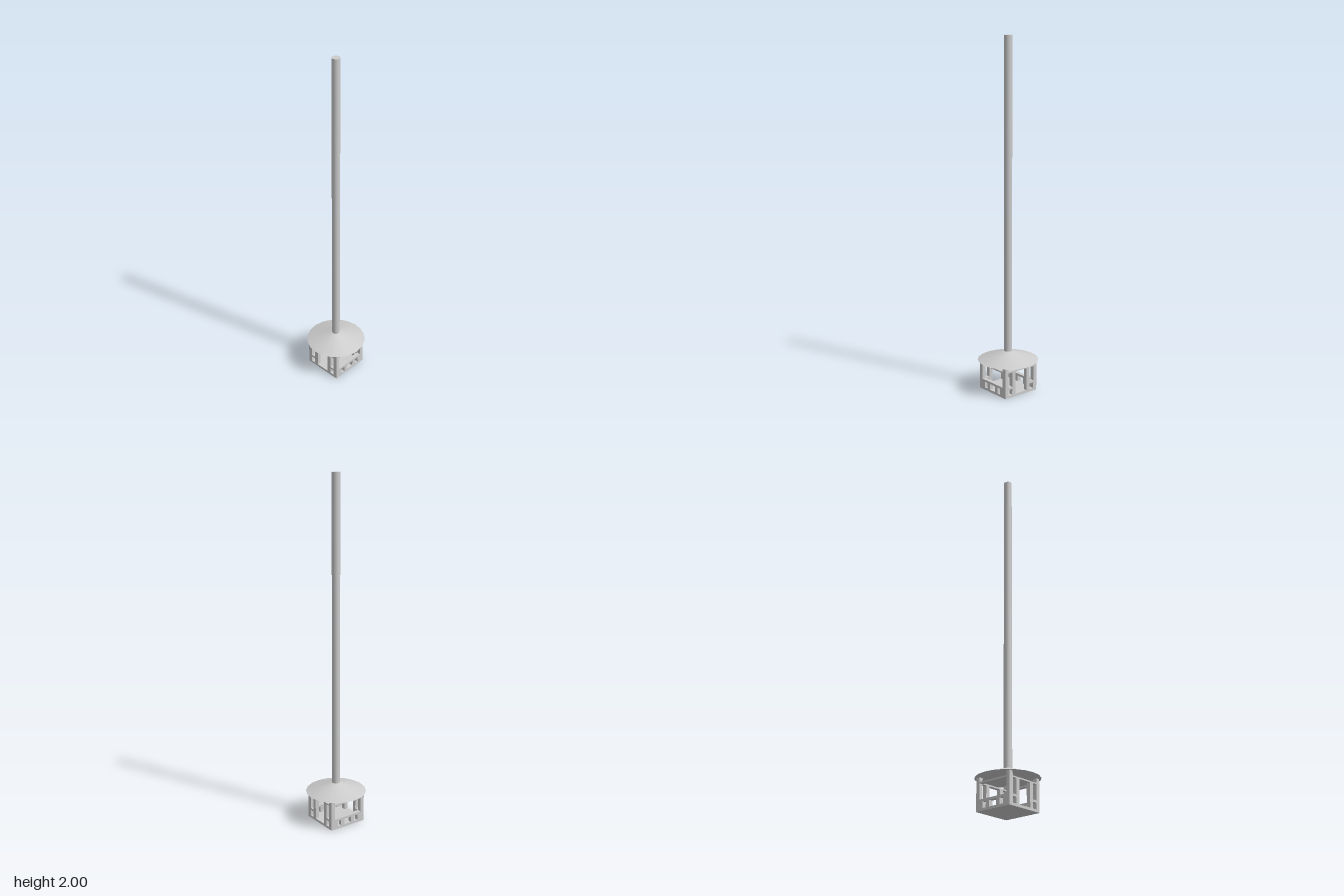
import * as THREE from 'three';

const material = new THREE.MeshStandardMaterial({ color: 0xcccccc });

export function createModel() {
  const model = new THREE.Group();
  const add = (name, geometry, x, y, z, parent = model) => {
    const mesh = new THREE.Mesh(geometry, material);
    mesh.name = name;
    mesh.position.set(x, y, z);
    parent.add(mesh);
  };
  // Box given by its centre in x and z and its bottom and top
  const box = (name, parent, x, z, w, d, y0, y1) =>
    add(name, new THREE.BoxGeometry(w, y1 - y0, d), x, (y0 + y1) / 2, z, parent);

  const half = 0.115, post = 0.023, edge = half - post / 2;
  const floorTop = 0.014, railBottom = 0.048, railTop = 0.061, beamTop = 0.154, eaves = 0.178;
  const span = 2 * (half - post);

  box('floor', model, 0, 0, 2 * half, 2 * half, 0, floorTop);

  // Corner posts
  for (const x of [-edge, edge])
    for (const z of [-edge, edge]) box('cornerPost', model, x, z, post, post, floorTop, eaves);

  // Front and back walls with a doorway between short rails
  for (const s of [1, -1]) {
    const wall = new THREE.Group();
    wall.name = s > 0 ? 'frontWall' : 'backWall';
    model.add(wall);
    box('topBeam', wall, 0, s * edge, span, post, 0.146, beamTop);
    for (const m of [-1, 1]) {
      box('doorPost', wall, m * 0.053, s * edge, post, post, floorTop, beamTop);
      box('shortRail', wall, m * 0.078, s * edge, 0.028, post, railBottom, railTop);
    }
  }

  // Side walls with a long rail on balusters
  for (const s of [1, -1]) {
    const wall = new THREE.Group();
    wall.name = s > 0 ? 'leftWall' : 'rightWall';
    model.add(wall);
    box('topBeam', wall, s * edge, 0, post, span, 0.146, beamTop);
    box('longRail', wall, s * edge, 0, post, span, railBottom, railTop);
    for (const z of [-0.0815, -0.035, 0.035, 0.0815])
      box('baluster', wall, s * edge, z, post, post, floorTop, railBottom);
  }

  // Conical roof and the tall pole above it
  add('roof', new THREE.ConeGeometry(0.174, 0.06, 20), 0, eaves + 0.03, 0);
  add('pole', new THREE.CylinderGeometry(0.023, 0.023, 1.79, 20), 0, 1.105, 0);

  return model;
}
